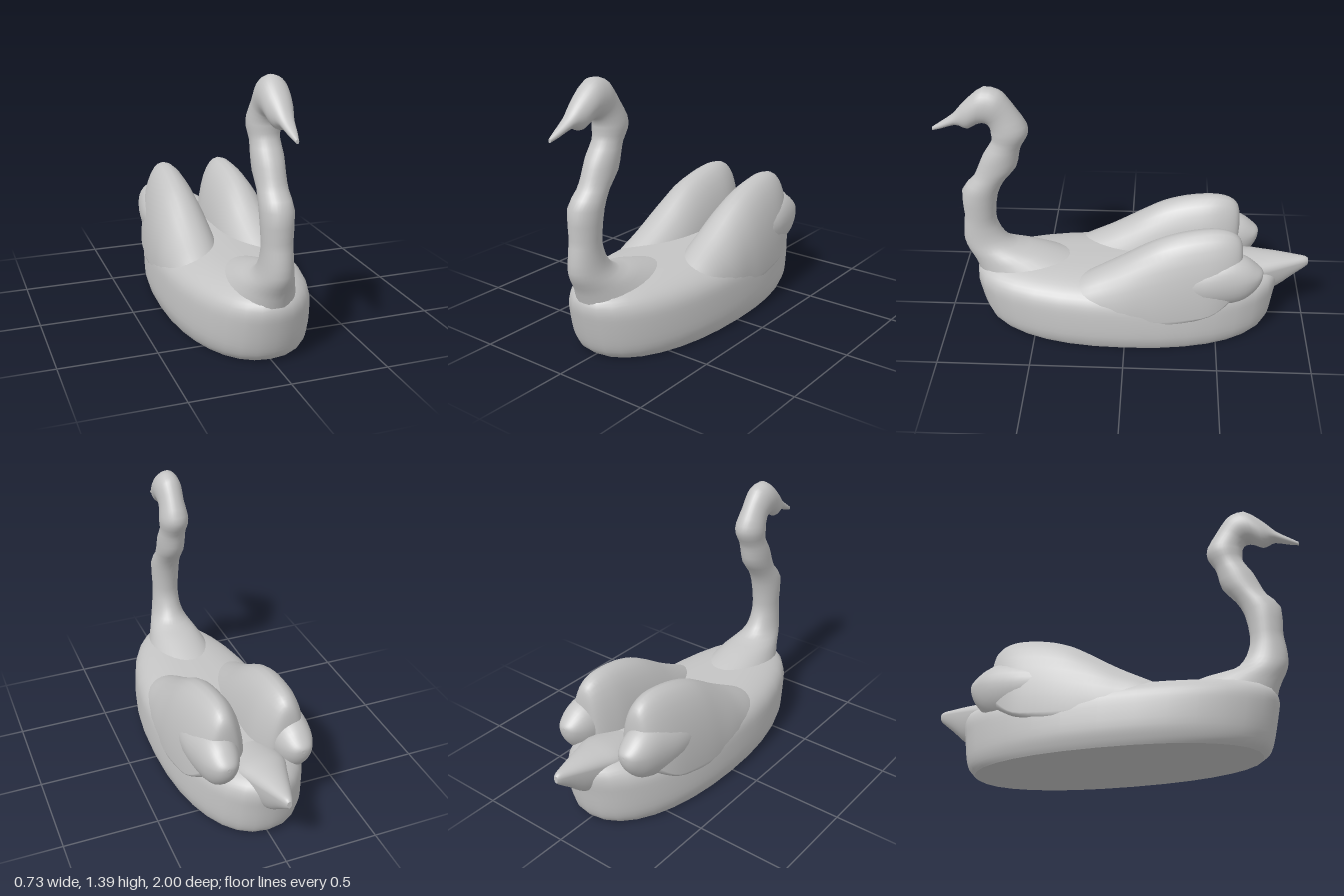
import * as THREE from 'three';

const SIDES = 32;

// Smoothly inserts rows between the given section rows (Catmull-Rom)
function refine(rows, steps) {
  const out = [];
  const at = (i) => rows[Math.max(0, Math.min(rows.length - 1, i))];
  for (let i = 0; i < rows.length - 1; i++) {
    for (let s = 0; s < steps; s++) {
      const t = s / steps;
      out.push(at(i).map((b, k) => {
        const a = at(i - 1)[k], c = at(i + 1)[k], d = at(i + 2)[k];
        return b + 0.5 * t * (c - a + t * (2 * a - 5 * b + 4 * c - d + t * (3 * (b - c) + d - a)));
      }));
    }
  }
  out.push(rows[rows.length - 1]);
  return out;
}

// Skins rings made by ringPoint(row, cos, sin); both ends get flat caps
function loft(rows, ringPoint, steps = 3) {
  const rings = refine(rows, steps).map((row) => {
    const ring = [];
    for (let j = 0; j < SIDES; j++) {
      const a = (j / SIDES) * Math.PI * 2;
      ring.push(ringPoint(row, Math.cos(a), Math.sin(a)));
    }
    return ring;
  });
  const pos = rings.flat(2), index = [];
  for (let i = 0; i < rings.length - 1; i++) {
    for (let j = 0; j < SIDES; j++) {
      const a = i * SIDES + j, b = i * SIDES + (j + 1) % SIDES;
      index.push(a, b, a + SIDES, b, b + SIDES, a + SIDES);
    }
  }
  [rings[0], rings[rings.length - 1]].forEach((ring, end) => {
    const base = pos.length / 3;
    pos.push(...ring.flat());
    pos.push(...[0, 1, 2].map((k) => ring.reduce((sum, p) => sum + p[k], 0) / SIDES));
    for (let j = 0; j < SIDES; j++) {
      const a = base + j, b = base + (j + 1) % SIDES;
      index.push(base + SIDES, end ? a : b, end ? b : a);
    }
  });
  // Turn all faces outward, judged by the signed volume
  const v = (i) => new THREE.Vector3().fromArray(pos, index[i] * 3);
  let volume = 0;
  for (let i = 0; i < index.length; i += 3) volume += v(i).dot(v(i + 1).cross(v(i + 2)));
  if (volume < 0) index.reverse();
  const geometry = new THREE.BufferGeometry();
  geometry.setAttribute('position', new THREE.Float32BufferAttribute(pos, 3));
  geometry.setIndex(index);
  geometry.computeVertexNormals();
  return geometry;
}

// Upright section: z, centre x, centre y, half width, height above, depth below
const upright = ([z, cx, cy, w, up, down], c, s) => [cx + w * c, cy + (s > 0 ? up : down) * s, z];

export function createModel() {
  const model = new THREE.Group();
  const grey = new THREE.MeshStandardMaterial({ color: 0xc4c4c4 });
  grey.name = 'grey';
  const add = (name, geometry, parent = model) => {
    const mesh = new THREE.Mesh(geometry, grey);
    mesh.name = name;
    parent.add(mesh);
    return mesh;
  };

  // Hull-like body with a flat base: y, front z, back z, half width
  const power = (v) => Math.sign(v) * Math.abs(v) ** 0.9;
  add('body', loft([
    [0, 0.74, -0.76, 0.34],
    [0.03, 0.775, -0.79, 0.353],
    [0.09, 0.8, -0.81, 0.365],
    [0.2, 0.825, -0.825, 0.36],
    [0.27, 0.835, -0.835, 0.345],
    [0.32, 0.82, -0.83, 0.305],
    [0.355, 0.77, -0.8, 0.235],
    [0.375, 0.68, -0.74, 0.14],
    [0.38, 0.5, -0.6, 0.02],
  ], ([y, zf, zb, w], c, s) => [
    w * power(c), y, (zf + zb) / 2 + (zf - zb) / 2 * power(s),
  ]));

  // Neck, head and beak: front z, y, back z, y, half width
  add('neckAndHead', loft([
    [0.8, 0.2, 0.22, 0.35, 0.2],
    [0.84, 0.35, 0.45, 0.42, 0.14],
    [0.875, 0.42, 0.6, 0.45, 0.105],
    [0.895, 0.48, 0.665, 0.5, 0.085],
    [0.89, 0.57, 0.7, 0.57, 0.076],
    [0.88, 0.64, 0.71, 0.64, 0.075],
    [0.88, 0.79, 0.69, 0.77, 0.081],
    [0.815, 0.87, 0.645, 0.86, 0.073],
    [0.785, 0.93, 0.58, 0.94, 0.076],
    [0.75, 1.01, 0.56, 1.02, 0.077],
    [0.7, 1.09, 0.545, 1.07, 0.072],
    [0.698, 1.14, 0.51, 1.13, 0.08],
    [0.7, 1.17, 0.51, 1.19, 0.078],
    [0.715, 1.195, 0.56, 1.275, 0.07],
    [0.73, 1.2, 0.607, 1.345, 0.073],
    [0.745, 1.2, 0.645, 1.38, 0.075],
    [0.77, 1.19, 0.72, 1.395, 0.074],
    [0.81, 1.166, 0.795, 1.34, 0.064],
    [0.84, 1.172, 0.845, 1.29, 0.05],
    [0.875, 1.185, 0.89, 1.24, 0.036],
    [0.95, 1.16, 0.95, 1.198, 0.022],
    [1, 1.145, 1, 1.165, 0.008],
  ], ([zf, yf, zb, yb, w], c, s) => [
    w * c, (yf + yb) / 2 + (yf - yb) / 2 * s, (zf + zb) / 2 + (zf - zb) / 2 * s,
  ], 2));

  // Pointed tail
  add('tail', loft([
    [-0.5, 0, 0.32, 0.12, 0.06, 0.16],
    [-0.65, 0, 0.34, 0.135, 0.07, 0.18],
    [-0.75, 0, 0.35, 0.105, 0.065, 0.18],
    [-0.84, 0, 0.36, 0.075, 0.053, 0.15],
    [-0.92, 0, 0.37, 0.047, 0.037, 0.09],
    [-0.98, 0, 0.375, 0.025, 0.027, 0.045],
    [-1, 0, 0.375, 0.013, 0.015, 0.025],
  ], upright));

  // Folded wings: a tall upper lobe and a lower feather lobe behind it
  const wing = loft([
    [0.32, 0.19, 0.2, 0.11, 0.12, 0.08],
    [0.22, 0.19, 0.2, 0.145, 0.175, 0.1],
    [0.1, 0.182, 0.2, 0.165, 0.24, 0.1],
    [0, 0.18, 0.2, 0.175, 0.3, 0.1],
    [-0.1, 0.178, 0.2, 0.177, 0.365, 0.1],
    [-0.2, 0.178, 0.2, 0.177, 0.42, 0.1],
    [-0.32, 0.175, 0.21, 0.172, 0.45, 0.08],
    [-0.45, 0.17, 0.23, 0.16, 0.45, 0.04],
    [-0.54, 0.17, 0.29, 0.13, 0.382, 0.05],
    [-0.595, 0.17, 0.36, 0.095, 0.28, 0.08],
    [-0.618, 0.17, 0.42, 0.06, 0.17, 0.07],
    [-0.625, 0.17, 0.46, 0.015, 0.05, 0.03],
  ], upright);
  const feathers = loft([
    [-0.25, 0.2, 0.38, 0.12, 0.12, 0.16],
    [-0.42, 0.2, 0.39, 0.13, 0.14, 0.16],
    [-0.55, 0.2, 0.4, 0.115, 0.15, 0.16],
    [-0.64, 0.2, 0.41, 0.095, 0.115, 0.14],
    [-0.7, 0.2, 0.42, 0.065, 0.06, 0.09],
    [-0.727, 0.2, 0.425, 0.037, 0.03, 0.045],
    [-0.735, 0.2, 0.43, 0.01, 0.01, 0.012],
  ], upright);
  for (const [side, sign] of [['left', 1], ['right', -1]]) {
    const group = new THREE.Group();
    group.name = side + 'Wing';
    group.scale.x = sign;
    add(side + 'UpperLobe', wing, group);
    add(side + 'FeatherLobe', feathers, group);
    model.add(group);
  }
  return model;
}
